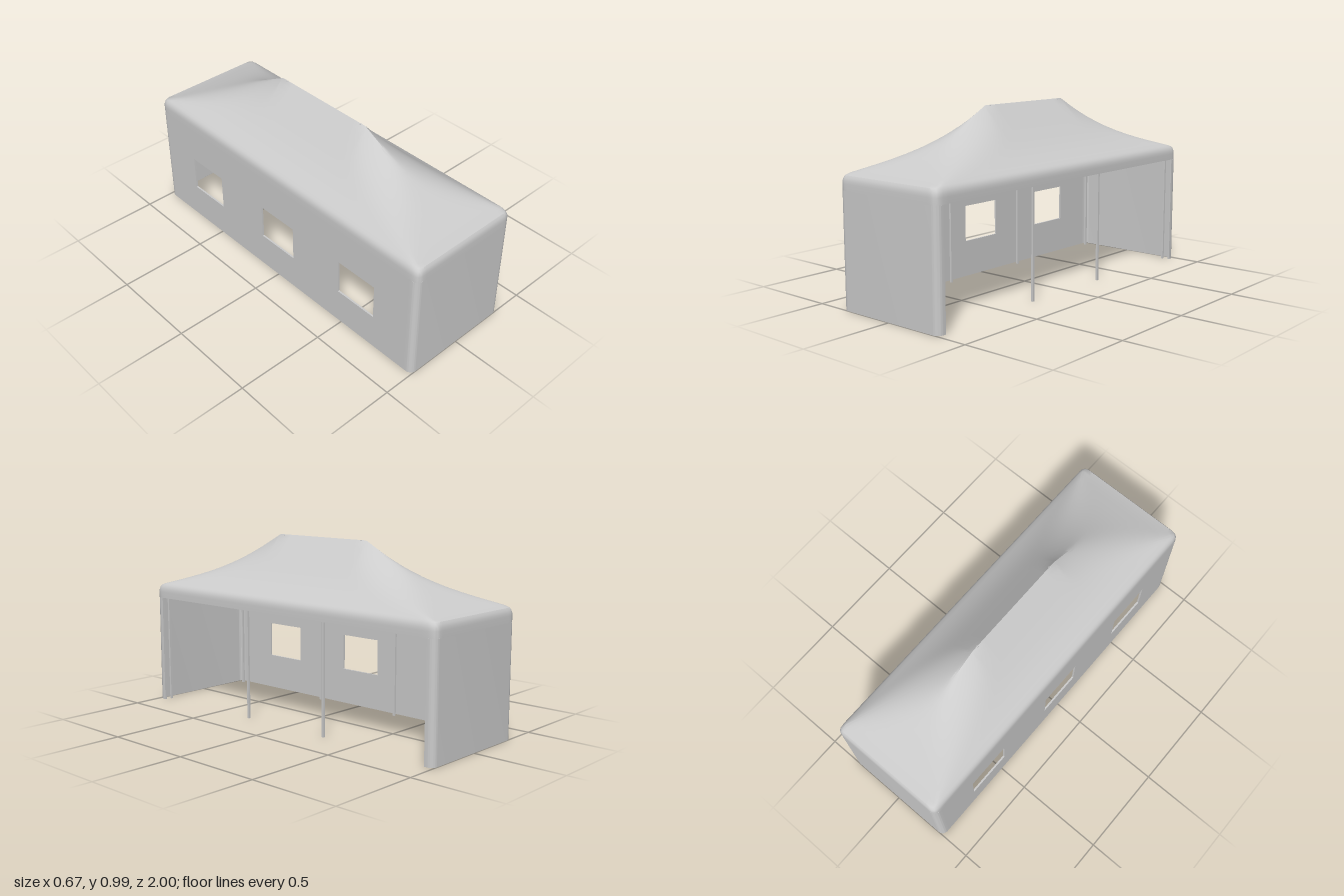
import * as THREE from 'three';
import { toCreasedNormals } from 'three/addons/utils/BufferGeometryUtils.js';

const HX = 0.333, HZ = 1, RIDGE = 0.31, EAVE = 0.605, R = 0.035, T = 0.01;
const POST_X = 0.29, POST_Z = [-0.945, -0.277, 0.277, 0.945];

const mat = new THREE.MeshStandardMaterial({ color: 0xcccccc, side: THREE.DoubleSide });

function add(parent, name, geometry, x = 0, y = 0, z = 0) {
  const mesh = new THREE.Mesh(geometry, mat);
  mesh.name = name;
  mesh.position.set(x, y, z);
  parent.add(mesh);
  return mesh;
}

// Directions around the roof: a = towards the side eave, b = towards the end eave, c = ridge position
function roofDirections() {
  const quarter = [], n = 12;
  for (let i = 0; i < 4; i++) quarter.push([1, 0, RIDGE * i / 4]);
  for (let i = 0; i <= n; i++) quarter.push([1, 1 - (1 - i / n) ** 2, RIDGE]);
  for (let i = 1; i <= n; i++) quarter.push([1 - (i / n) ** 2, 1, RIDGE]);
  const half = [...quarter, ...quarter.slice(0, -1).reverse().map(([a, b, c]) => [-a, b, c])];
  return [...half, ...half.slice(1, -1).reverse().map(([a, b, c]) => [a, -b, -c])];
}

// Sloping cloth roof: rings spread from a peaked ridge to the rounded rectangular eave
function roofGeometry() {
  const dirs = roofDirections(), rings = [];
  const height = s => s < 0.33 ? 0.99 - 0.12 * s / 0.33
    : 0.87 - 0.183 * (s - 0.33) / 0.61 - 0.012 * Math.sin(Math.PI * (s - 0.33) / 0.61);
  for (const s of [0, 0.06, 0.12, 0.18, 0.25, 0.33, 0.4, 0.48, 0.56, 0.64, 0.72, 0.8, 0.87, 0.94]) {
    const p = 1 / (1 - s) ** 1.5;
    rings.push(dirs.map(([a, b, c]) => {
      const k = s / (Math.abs(a) ** p + Math.abs(b) ** p) ** (1 / p);
      return [a * HX * k, height(s), c + b * (HZ - RIDGE) * k];
    }));
  }
  // Rounded eave, valance and its inner hem: [inset, y]
  const edge = [[0.012, 0.679], [0.005, 0.668], [0.001, 0.653], [0, 0.638], [0, EAVE], [T, EAVE], [T, 0.655]];
  for (const [inset, y] of edge) {
    const hx = HX - inset, hz = HZ - inset;
    rings.push(dirs.map(([a, b, c]) => {
      let x = a * hx, z = c + b * (hz - RIDGE);
      const dx = Math.abs(x) - (hx - R), dz = Math.abs(z) - (hz - R);
      const d = Math.hypot(dx, dz);
      if (dx > 0 && dz > 0 && d > R) {
        x = Math.sign(x) * (hx - R + dx * R / d);
        z = Math.sign(z) * (hz - R + dz * R / d);
      }
      return [x, y, z];
    }));
  }
  const n = dirs.length, index = [];
  for (let i = 0; i < rings.length - 1; i++) {
    for (let j = 0; j < n; j++) {
      const u = i * n + j, u1 = i * n + (j + 1) % n;
      if (i > 0 || dirs[j][2] !== dirs[(j + 1) % n][2]) index.push(u, u1, u + n);
      index.push(u + n, u1, u1 + n);
    }
  }
  const g = new THREE.BufferGeometry();
  g.setAttribute('position', new THREE.Float32BufferAttribute(rings.flat(2), 3));
  g.setIndex(index);
  return toCreasedNormals(g, 0.7);
}

// End wall in plan: a thin sheet wrapping around both corners
function endWallGeometry() {
  const s = new THREE.Shape(), r = R - T, ix = HX - T, iz = HZ - T, back = 0.95;
  s.moveTo(HX, back);
  s.lineTo(HX, HZ - R);
  s.absarc(HX - R, HZ - R, R, 0, Math.PI / 2);
  s.lineTo(-HX + R, HZ);
  s.absarc(-HX + R, HZ - R, R, Math.PI / 2, Math.PI);
  s.lineTo(-HX, back);
  s.lineTo(-ix, back);
  s.lineTo(-ix, iz - r);
  s.absarc(-HX + R, HZ - R, r, Math.PI, Math.PI / 2, true);
  s.lineTo(HX - R, iz);
  s.absarc(HX - R, HZ - R, r, Math.PI / 2, 0, true);
  s.lineTo(ix, back);
  const g = new THREE.ExtrudeGeometry(s, { depth: EAVE, bevelEnabled: false, curveSegments: 8 });
  g.rotateX(Math.PI / 2).translate(0, EAVE, 0);
  return toCreasedNormals(g, 0.6);
}

// Long wall with three window openings
function windowWallGeometry() {
  const rect = (path, x0, y0, x1, y1) =>
    path.moveTo(x0, y0).lineTo(x1, y0).lineTo(x1, y1).lineTo(x0, y1).closePath();
  const s = new THREE.Shape();
  rect(s, -0.95, 0, 0.95, EAVE);
  for (const z of [-0.6, 0, 0.6]) {
    const hole = new THREE.Path();
    rect(hole, z - 0.127, 0.2, z + 0.127, 0.4);
    s.holes.push(hole);
  }
  const g = new THREE.ExtrudeGeometry(s, { depth: T, bevelEnabled: false });
  return g.rotateY(-Math.PI / 2).translate(-HX + T, 0, 0);
}

export function createModel() {
  const tent = new THREE.Group();
  tent.name = 'partyTent';

  add(tent, 'roof', roofGeometry());
  const endWall = endWallGeometry();
  add(tent, 'frontWall', endWall);
  add(tent, 'backWall', endWall).rotation.y = Math.PI;
  // Mirror the turned wall so both ends wrap alike
  add(tent, 'windowWall', windowWallGeometry());

  // Pole frame: posts, cross beams, long beams and two king posts
  const frame = new THREE.Group();
  frame.name = 'frame';
  tent.add(frame);
  const w = 0.012, beamY = EAVE + w / 2;
  const post = new THREE.BoxGeometry(w, EAVE, w);
  const crossBeam = new THREE.BoxGeometry(2 * POST_X + w, w, w);
  const longBeam = new THREE.BoxGeometry(w, w, 2 * POST_Z[3] + w);
  const kingPost = new THREE.BoxGeometry(0.01, 0.382, 0.01);
  for (const z of POST_Z) {
    for (const x of [-POST_X, POST_X]) add(frame, 'post', post, x, EAVE / 2, z);
    add(frame, 'crossBeam', crossBeam, 0, beamY, z);
    if (Math.abs(z) < 0.5) add(frame, 'kingPost', kingPost, 0, EAVE + 0.191, z);
  }
  for (const x of [-POST_X, POST_X]) add(frame, 'longBeam', longBeam, x, beamY, 0);
  return tent;
}
